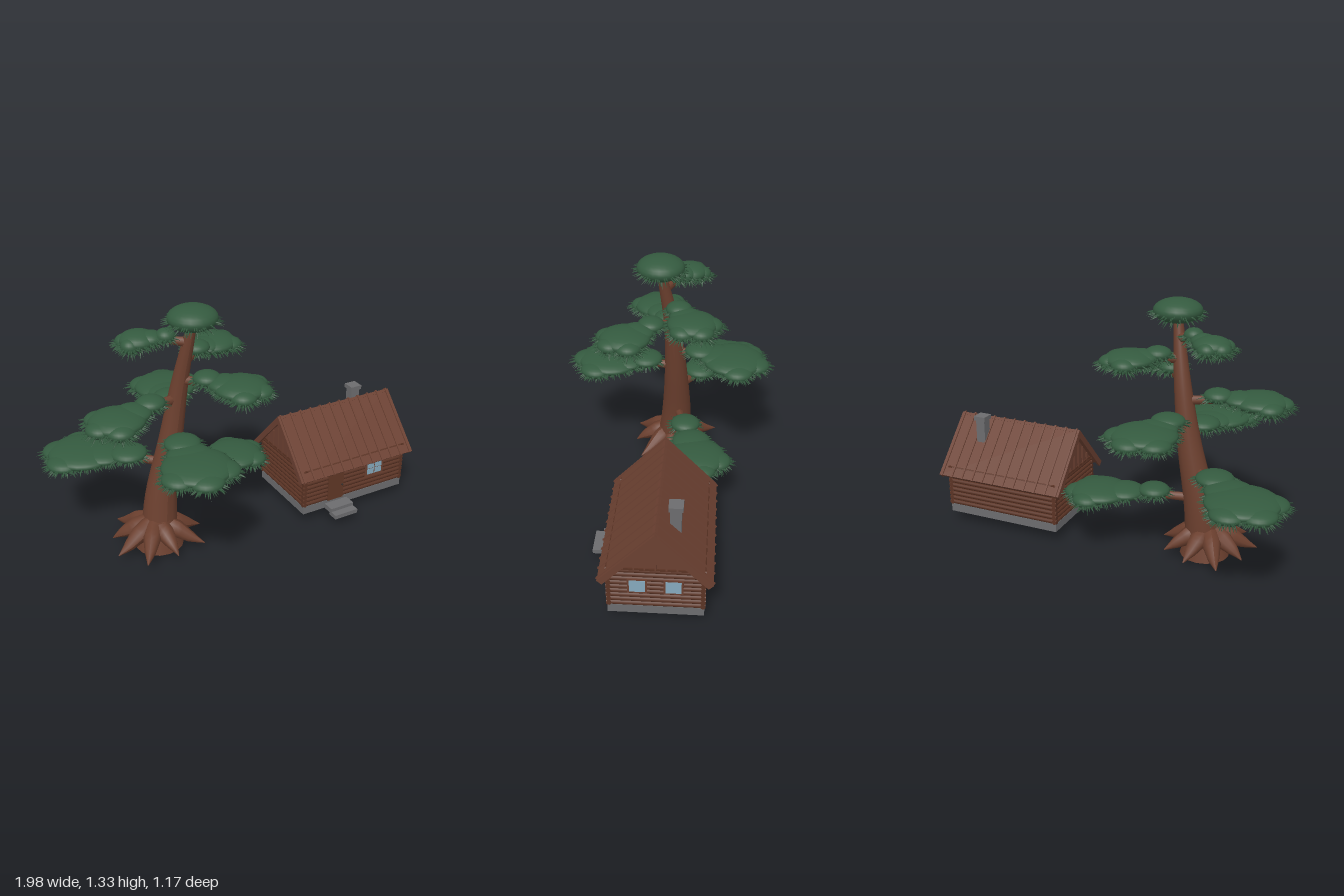
import * as THREE from 'three';
import { mergeGeometries } from 'three/addons/utils/BufferGeometryUtils.js';

const mat = (name, color) => Object.assign(new THREE.MeshStandardMaterial({ color }), { name });
const V = (x, y, z) => new THREE.Vector3(x, y, z);

export function createModel() {
  const M = {
    bark: mat('bark', 0x6b3f2e),
    needles: mat('needles', 0x345a3f),
    log: mat('log wood', 0x5a3324),
    roof: mat('roof wood', 0x6b4031),
    door: mat('door wood', 0x5f3726),
    stone: mat('stone', 0x6c6c6e),
    glass: mat('glass', 0x86a9bc),
    dark: mat('dark metal', 0x2c2624),
  };
  const model = new THREE.Group();
  const tree = new THREE.Group(); tree.name = 'tree';
  const cabin = new THREE.Group(); cabin.name = 'cabin';
  model.add(tree, cabin);

  const add = (parent, name, geo, material, x = 0, y = 0, z = 0) => {
    const mesh = new THREE.Mesh(geo, material);
    mesh.name = name;
    mesh.position.set(x, y, z);
    parent.add(mesh);
    return mesh;
  };
  // box given by its min and max corners
  const box = (name, material, x0, x1, y0, y1, z0, z1) =>
    add(cabin, name, new THREE.BoxGeometry(x1 - x0, y1 - y0, z1 - z0), material,
      (x0 + x1) / 2, (y0 + y1) / 2, (z0 + z1) / 2);

  // tube along points whose radius follows a list
  const taper = (points, radii, segments, sides) => {
    const curve = new THREE.CatmullRomCurve3(points);
    const geo = new THREE.TubeGeometry(curve, segments, 1, sides);
    const pos = geo.attributes.position, v = new THREE.Vector3();
    for (let i = 0; i <= segments; i++) {
      const p = curve.getPointAt(i / segments);
      const f = (i / segments) * (radii.length - 1), k = Math.min(Math.floor(f), radii.length - 2);
      const r = THREE.MathUtils.lerp(radii[k], radii[k + 1], f - k);
      for (let j = 0; j <= sides; j++) {
        const n = i * (sides + 1) + j;
        v.fromBufferAttribute(pos, n).sub(p).multiplyScalar(r).add(p);
        pos.setXYZ(n, v.x, v.y, v.z);
      }
    }
    geo.computeVertexNormals();
    return geo;
  };

  // ---- Tree: leaning trunk, flared foot and roots ----
  const trunkPath = [V(-0.462, 0.03, -0.03), V(-0.435, 0.28, -0.045), V(-0.368, 0.6, -0.043),
    V(-0.318, 0.9, -0.025), V(-0.265, 1.23, 0.03)];
  const trunkCurve = new THREE.CatmullRomCurve3(trunkPath);
  add(tree, 'trunk', taper(trunkPath, [0.1, 0.08, 0.06, 0.042, 0.024], 24, 16), M.bark);
  add(tree, 'trunkFoot', new THREE.CylinderGeometry(0.085, 0.13, 0.17, 16), M.bark, -0.463, 0.085, -0.03);
  for (let i = 0; i < 9; i++) {
    const a = (i / 9) * Math.PI * 2 + 0.05, reach = 0.25 + 0.025 * Math.sin(i * 2.3);
    const at = (r, y) => V(-0.48 + Math.cos(a) * r, y, -0.03 + Math.sin(a) * r);
    add(tree, 'root', taper([at(0.04, 0.14), at(0.12, 0.105), at(0.19, 0.07), at(reach, 0.045)],
      [0.045, 0.048, 0.03, 0.002], 9, 9), M.bark);
  }

  // ---- Foliage: flattened lobes fringed with needles ----
  let seed = 7;
  const rand = () => (seed = (seed * 16807) % 2147483647) / 2147483647;
  const up = V(0, 1, 0);
  const lobe = (x, y, z, r, h) => {
    const parts = [new THREE.SphereGeometry(1, 24, 14).scale(r, h, r).translate(x, y, z)];
    const count = Math.round(40 + r * 300);
    for (let i = 0; i < count; i++) {
      const a = i * 2.39996, e = i % 2 ? -0.1 - rand() * 0.2 : -0.2 - rand() * 0.9;
      const len = 0.04 + rand() * 0.02;
      const c = Math.cos(e), s = Math.sin(e);
      const dir = V(Math.cos(a) * c, s * 0.7 - 0.08, Math.sin(a) * c).normalize();
      const spike = new THREE.ConeGeometry(0.007, len, 4);
      spike.applyQuaternion(new THREE.Quaternion().setFromUnitVectors(up, dir));
      const p = V(x + Math.cos(a) * c * r, y + s * h, z + Math.sin(a) * c * r).addScaledVector(dir, len * 0.2);
      parts.push(spike.translate(p.x, p.y, p.z));
    }
    return mergeGeometries(parts);
  };

  // a branch with a main lobe, three lobes fanned outward and two back along the branch
  const foliagePad = (x, y, z, r) => {
    const pad = new THREE.Group();
    pad.name = 'foliagePad';
    tree.add(pad);
    const start = trunkCurve.getPointAt((y - 0.03) / 1.2), end = V(x, y, z);
    const mid = start.clone().lerp(end, 0.5).setY(y + 0.01);
    add(pad, 'branch', taper([start, mid, end], [0.027, 0.018, 0.01], 10, 8), M.bark);
    add(pad, 'mainLobe', lobe(x, y + 0.01, z, r, 0.047), M.needles);
    const outward = Math.atan2(z - start.z, x - start.x);
    for (const k of [-1, 0, 1]) {
      const a = outward + k * 1.1;
      add(pad, 'outerLobe', lobe(x + Math.cos(a) * r * 0.7, y, z + Math.sin(a) * r * 0.7, r * 0.5, 0.038), M.needles);
    }
    for (const t of [0.45, 0.75]) {
      const p = start.clone().lerp(end, t);
      add(pad, 'innerLobe', lobe(p.x, y + 0.05 * (1.1 - t), p.z, r * (0.3 + t * 0.5), 0.038), M.needles);
    }
  };
  foliagePad(0.07, 0.31, -0.18, 0.155);
  foliagePad(-0.74, 0.465, -0.34, 0.185);
  foliagePad(-0.4, 0.625, 0.33, 0.175);
  foliagePad(-0.25, 0.73, -0.36, 0.165);
  foliagePad(-0.69, 0.825, 0.07, 0.14);
  foliagePad(-0.1, 0.925, 0.21, 0.135);
  foliagePad(-0.08, 1.03, -0.14, 0.13);
  foliagePad(-0.49, 1.135, -0.11, 0.095);
  add(tree, 'treetop', lobe(-0.263, 1.265, 0.033, 0.125, 0.062), M.needles);

  // ---- Cabin: stone base, log walls ----
  const CX = 0.63, CZ = -0.027;
  box('foundation', M.stone, 0.3, 0.96, 0.06, 0.106, -0.253, 0.2);
  box('wallCore', M.log, 0.306, 0.954, 0.105, 0.335, -0.247, 0.194);
  const logs = 9, step = 0.23 / logs;
  for (let i = 0; i < logs; i++) {
    const y = 0.105 + step * (i + 0.5);
    for (const s of [-1, 1]) {
      add(cabin, 'longLog', new THREE.CylinderGeometry(0.0128, 0.0128, 0.67, 10).rotateZ(Math.PI / 2),
        M.log, CX, y, CZ + s * 0.219);
      add(cabin, 'endLog', new THREE.CylinderGeometry(0.0128, 0.0128, 0.463, 10).rotateX(Math.PI / 2),
        M.log, CX + s * 0.322, y, CZ);
    }
  }

  // gable ends with upright battens
  const tri = new THREE.Shape([new THREE.Vector2(-0.2, 0), new THREE.Vector2(0.2, 0), new THREE.Vector2(0, 0.213)]);
  for (const s of [-1, 1]) {
    const gable = new THREE.ExtrudeGeometry(tri, { depth: 0.02, bevelEnabled: false });
    gable.translate(0, 0, -0.01).rotateY(Math.PI / 2);
    add(cabin, 'gable', gable, M.roof, CX + s * 0.32, 0.335, CZ);
    for (let i = -3; i <= 3; i++) {
      const h = 0.205 - Math.abs(i) * 0.053;
      add(cabin, 'gableBatten', new THREE.BoxGeometry(0.008, h, 0.008), M.roof, CX + s * 0.332, 0.335 + h / 2, CZ + i * 0.05);
    }
    add(cabin, 'gableSill', new THREE.BoxGeometry(0.02, 0.012, 0.43), M.log, CX + s * 0.325, 0.337, CZ);
  }

  // roof slopes with battens and barge boards
  const L = 0.388;
  for (const s of [-1, 1]) {
    const slope = new THREE.Group();
    slope.name = 'roofSlope';
    slope.position.set(CX, 0.573, CZ);
    slope.rotation.order = 'YXZ';
    slope.rotation.set(Math.atan2(0.285, 0.267), s < 0 ? Math.PI : 0, 0);
    cabin.add(slope);
    add(slope, 'roofBoards', new THREE.BoxGeometry(0.736, 0.016, L), M.roof, 0, -0.008, L / 2);
    for (let i = 0; i < 12; i++)
      add(slope, 'roofBatten', new THREE.BoxGeometry(0.009, 0.01, L + 0.006), M.roof, -0.352 + i * 0.064, 0.001, L / 2);
    for (const e of [-1, 1])
      add(slope, 'bargeBoard', new THREE.BoxGeometry(0.012, 0.032, L), M.roof, e * 0.364, -0.015, L / 2);
  }

  // chimney and cap
  box('chimney', M.stone, 0.79, 0.842, 0.42, 0.585, -0.138, -0.086);
  box('chimneyCap', M.stone, 0.782, 0.85, 0.582, 0.605, -0.146, -0.078);

  // door, knob and steps
  box('door', M.door, 0.455, 0.555, 0.105, 0.272, 0.19, 0.208);
  add(cabin, 'doorKnob', new THREE.SphereGeometry(0.006, 10, 8), M.dark, 0.545, 0.188, 0.21);
  box('upperStep', M.stone, 0.43, 0.575, 0.072, 0.1, 0.215, 0.281);
  box('lowerStep', M.stone, 0.43, 0.575, 0.058, 0.081, 0.263, 0.323);

  // front window with four panes
  box('frontWindowFrame', M.roof, 0.7, 0.822, 0.19, 0.28, 0.19, 0.208);
  for (const i of [0, 1]) for (const j of [0, 1])
    box('frontPane', M.glass, 0.713 + i * 0.051, 0.758 + i * 0.051, 0.2 + j * 0.037, 0.233 + j * 0.037, 0.206, 0.21);

  // two windows in the right-hand end wall
  for (const z of [0.058, -0.11]) {
    box('endWindowFrame', M.roof, 0.95, 0.967, 0.193, 0.278, z - 0.046, z + 0.046);
    box('endPane', M.glass, 0.965, 0.969, 0.202, 0.27, z - 0.037, z + 0.037);
  }
  return model;
}
